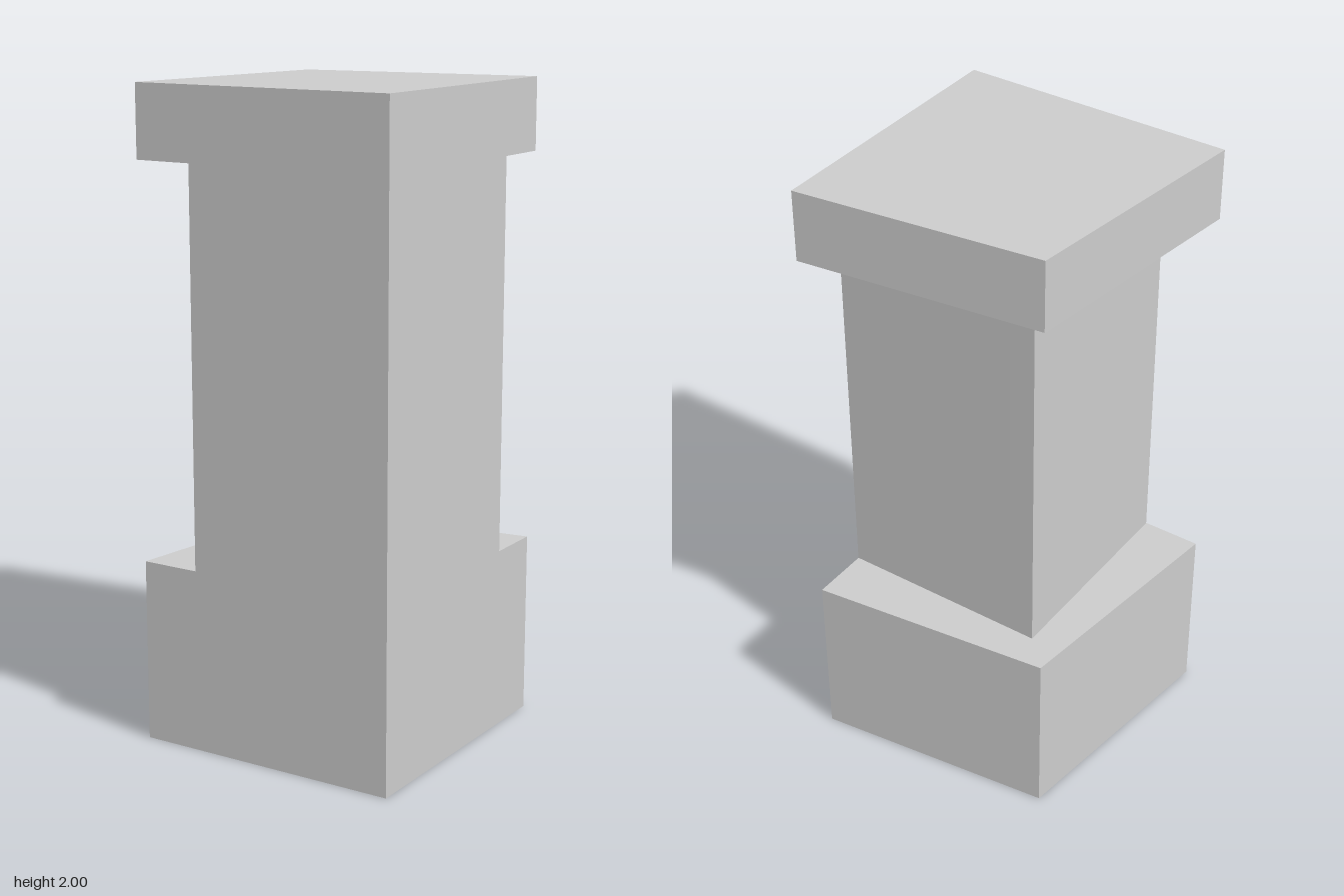
import * as THREE from 'three';

const material = new THREE.MeshStandardMaterial({ color: 0xcccccc, flatShading: true });

// Upright prism over a plan outline of [x, z] corners
function prism(name, outline, bottom, top) {
  const shape = new THREE.Shape(outline.map(([x, z]) => new THREE.Vector2(x, -z)));
  const geometry = new THREE.ExtrudeGeometry(shape, { depth: top - bottom, bevelEnabled: false });
  geometry.rotateX(-Math.PI / 2).translate(0, bottom, 0);
  const mesh = new THREE.Mesh(geometry, material);
  mesh.name = name;
  return mesh;
}

export function createModel() {
  const group = new THREE.Group();
  group.name = 'cornerPillar';

  // Plinth and cap share a skewed plan; the shaft is square and flush at the +x and +z faces
  const e = 0.426;
  const skewed = [[-e, e], [e, e], [e, -e], [-0.333, -0.333]];
  const square = [[-0.24, e], [e, e], [e, -0.24], [-0.24, -0.24]];

  group.add(
    prism('plinth', skewed, 0, 0.567),
    prism('shaft', square, 0.567, 1.778),
    prism('cap', skewed, 1.778, 2),
  );
  return group;
}
